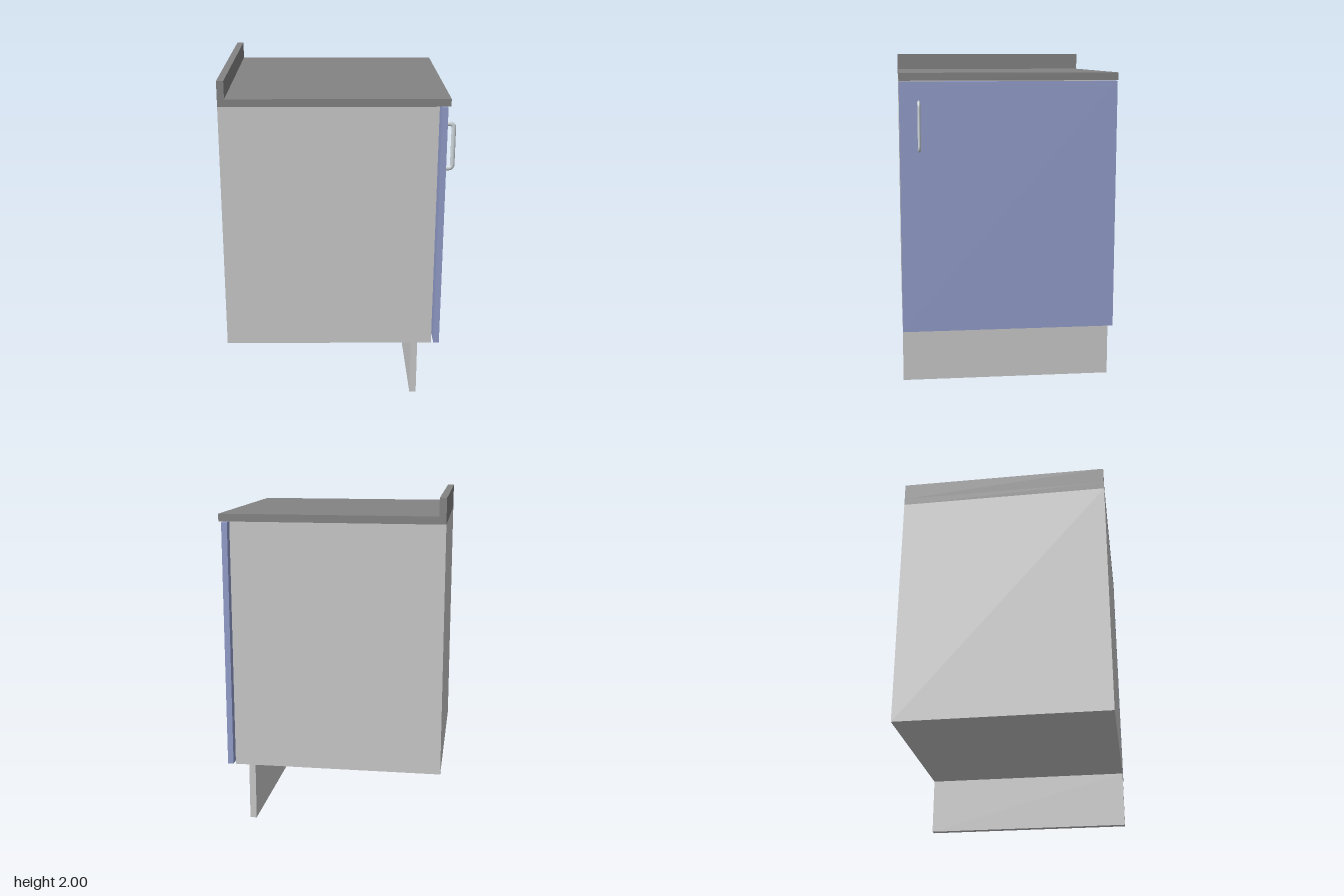
import * as THREE from 'three';

export function createModel() {
  const model = new THREE.Group();
  model.name = 'baseCabinet';

  const grey = new THREE.MeshStandardMaterial({ color: 0xcccccc });
  const dark = new THREE.MeshStandardMaterial({ color: 0x848484 });
  const blue = new THREE.MeshStandardMaterial({ color: 0x949fcc });
  const metal = new THREE.MeshStandardMaterial({ color: 0xd0d8dc });

  // The cabinet stands slightly turned; its door faces local +x
  const cabinet = new THREE.Group();
  cabinet.name = 'cabinet';
  cabinet.rotation.y = 0.0245;
  cabinet.position.set(-0.025, 0, -0.0025);
  model.add(cabinet);

  const depth = 1.286;
  const panel = (name, x0, x1, y0, y1, material) => {
    const mesh = new THREE.Mesh(new THREE.BoxGeometry(x1 - x0, y1 - y0, depth), material);
    mesh.name = name;
    mesh.position.set((x0 + x1) / 2, (y0 + y1) / 2, 0);
    cabinet.add(mesh);
  };

  panel('carcass', -0.665, 0.599, 0.35, 1.85, grey);
  panel('door', 0.614, 0.649, 0.35, 1.845, blue);
  panel('toeKick', 0.474, 0.514, 0, 0.35, grey);
  panel('worktop', -0.665, 0.665, 1.85, 1.895, dark);
  panel('backsplash', -0.665, -0.624, 1.895, 2, dark);

  // Bow handle: two posts and a grip with rounded corners, flattened sideways
  const v = (x, y) => new THREE.Vector3(x, y, 0);
  const post = 0.136, grip = 0.05, bend = 0.026;
  const path = new THREE.CurvePath();
  path.add(new THREE.LineCurve3(v(-0.005, -post), v(grip - bend, -post)));
  path.add(new THREE.QuadraticBezierCurve3(v(grip - bend, -post), v(grip, -post), v(grip, -post + bend)));
  path.add(new THREE.LineCurve3(v(grip, -post + bend), v(grip, post - bend)));
  path.add(new THREE.QuadraticBezierCurve3(v(grip, post - bend), v(grip, post), v(grip - bend, post)));
  path.add(new THREE.LineCurve3(v(grip - bend, post), v(-0.005, post)));
  const handle = new THREE.Mesh(new THREE.TubeGeometry(path, 80, 0.0135, 14), metal);
  handle.name = 'handle';
  handle.scale.z = 0.65;
  handle.position.set(0.649, 1.586, 0.53);
  cabinet.add(handle);

  return model;
}
